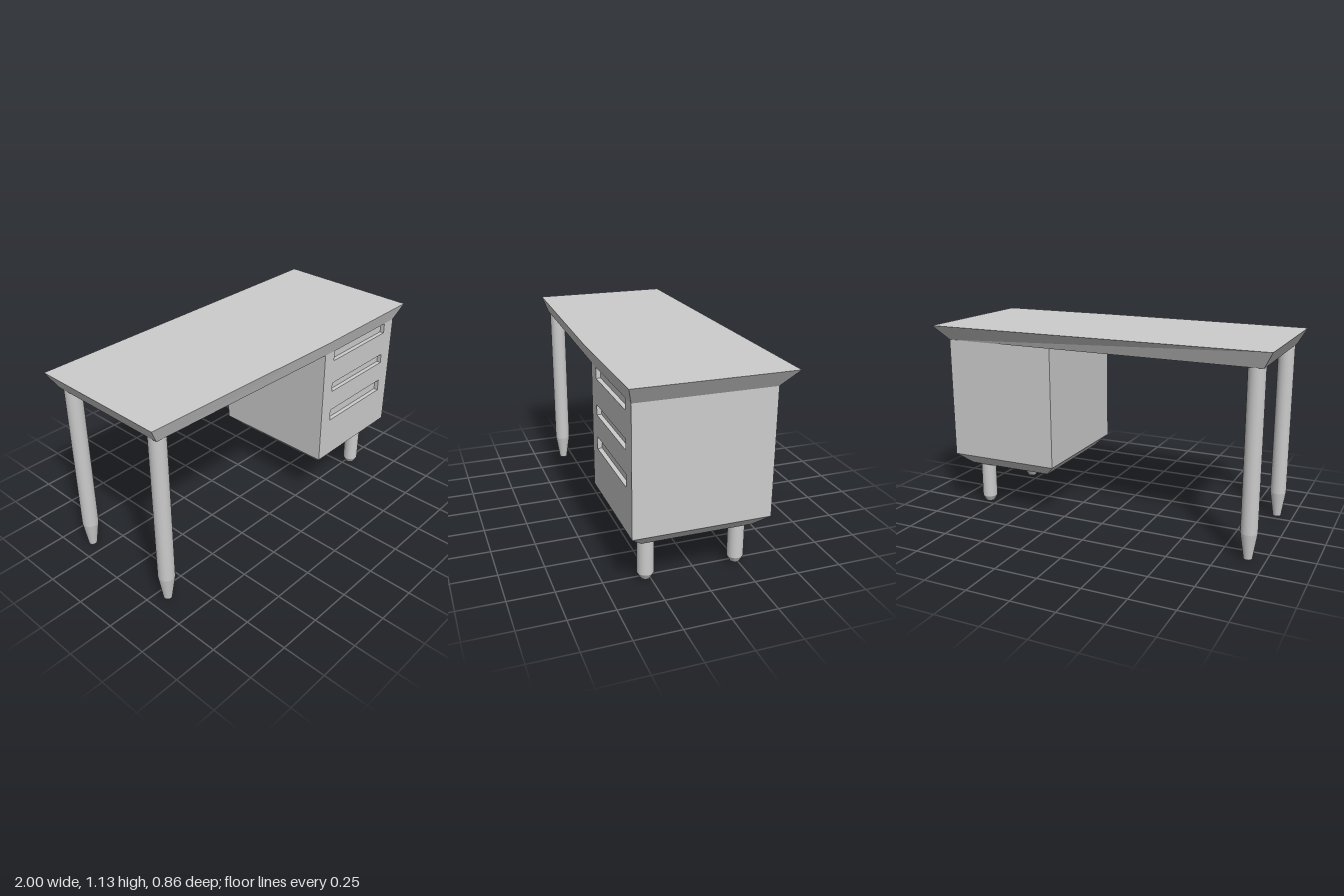
import * as THREE from 'three';

const grey = new THREE.MeshStandardMaterial({ color: 0xcccccc });
grey.name = 'grey';

// Closed flat-faced solid through convex rings of [x, z] corners, bottom to top
function loft(name, rings) {
  const pos = [];
  const tri = (...pts) => pts.forEach((p) => pos.push(...p));
  const levels = rings.map(([y, pts]) => pts.map(([x, z]) => [x, y, z]));
  const n = levels[0].length;
  for (let k = 0; k < levels.length - 1; k++) {
    const lo = levels[k], hi = levels[k + 1];
    for (let i = 0; i < n; i++) {
      const j = (i + 1) % n;
      tri(lo[i], lo[j], hi[j]);
      tri(lo[i], hi[j], hi[i]);
    }
  }
  const first = levels[0], last = levels[levels.length - 1];
  for (let i = 1; i < n - 1; i++) {
    tri(last[0], last[i], last[i + 1]);
    tri(first[0], first[i + 1], first[i]);
  }
  const geo = new THREE.BufferGeometry();
  geo.setAttribute('position', new THREE.Float32BufferAttribute(pos, 3));
  geo.computeVertexNormals();
  const mesh = new THREE.Mesh(geo, grey);
  mesh.name = name;
  return mesh;
}

const rect = (x0, x1, z0, z1) => [[x0, z1], [x1, z1], [x1, z0], [x0, z0]];

// Round leg with a tapered foot
function leg(name, x, z, top, ankle, bottom, radius, footRadius) {
  const group = new THREE.Group();
  group.name = name;
  const section = (part, rTop, rBottom, y0, y1) => {
    const mesh = new THREE.Mesh(new THREE.CylinderGeometry(rTop, rBottom, y1 - y0, 24), grey);
    mesh.name = part;
    mesh.position.set(x, (y0 + y1) / 2, z);
    group.add(mesh);
  };
  section('legShaft', radius, radius, ankle, top);
  section('legFoot', radius, footRadius, bottom, ankle);
  return group;
}

// Drawer front with three recessed grips
function drawerFront(x0, x1, y0, y1, depth) {
  const box = (Type, a, b, c, d) => {
    const s = new Type();
    s.moveTo(a, c).lineTo(b, c).lineTo(b, d).lineTo(a, d).closePath();
    return s;
  };
  const shape = box(THREE.Shape, x0, x1, y0, y1);
  for (const [c, d] of [[0.58, 0.65], [0.775, 0.832], [0.977, 1.038]]) {
    shape.holes.push(box(THREE.Path, 0.354, 0.851, c, d));
  }
  const mesh = new THREE.Mesh(new THREE.ExtrudeGeometry(shape, { depth, bevelEnabled: false }), grey);
  mesh.name = 'drawerFront';
  return mesh;
}

export function createModel() {
  const desk = new THREE.Group();
  desk.name = 'desk';

  // Worktop, undercut on all sides, with a slightly angled front edge
  desk.add(loft('worktop', [
    [1.04, [[-0.95, 0.36], [0.27, 0.4], [0.94, 0.4], [0.94, -0.35], [-0.95, -0.39]]],
    [1.13, [[-1, 0.39], [0.27, 0.43], [1, 0.43], [1, -0.43], [-1, -0.43]]],
  ]));

  // Drawer cabinet with chamfered base
  const depth = 0.025;
  desk.add(loft('cabinet', [
    [0.265, rect(0.342, 0.87, -0.278, 0.33)],
    [0.335, rect(0.27, 0.94, -0.35, 0.4)],
    [0.335, rect(0.27, 0.94, -0.35, 0.4 - depth)],
    [1.042, rect(0.27, 0.94, -0.35, 0.4 - depth)],
  ]));
  const front = drawerFront(0.27, 0.94, 0.335, 1.042, depth);
  front.position.z = 0.4 - depth;
  desk.add(front);

  // Long legs at the left end, short legs under the cabinet
  desk.add(leg('frontLongLeg', -0.903, 0.311, 1.05, 0.15, 0, 0.047, 0.024));
  desk.add(leg('backLongLeg', -0.903, -0.337, 1.05, 0.15, 0, 0.047, 0.024));
  desk.add(leg('frontShortLeg', 0.79, 0.281, 0.28, 0.05, 0.016, 0.045, 0.026));
  desk.add(leg('backShortLeg', 0.79, -0.229, 0.28, 0.05, 0.016, 0.045, 0.026));

  return desk;
}
